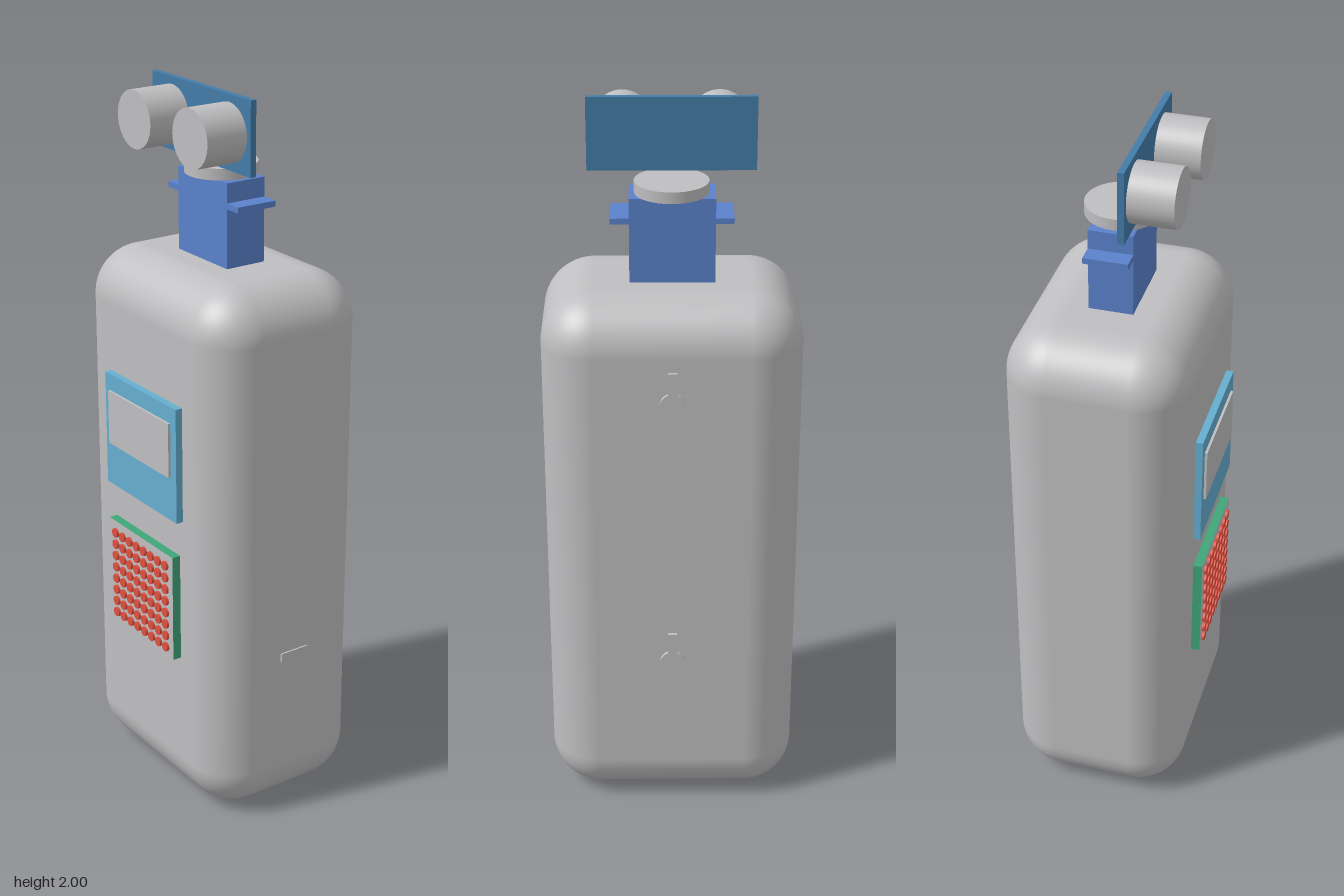
import * as THREE from 'three';
import { RoundedBoxGeometry } from 'three/addons/geometries/RoundedBoxGeometry.js';

export function createModel() {
  const model = new THREE.Group();
  const mat = (name, color) => {
    const m = new THREE.MeshStandardMaterial({ color });
    m.name = name;
    return m;
  };
  const grey = mat('casing grey', 0xbfbfc1);
  const servoBlue = mat('servo blue', 0x5a82cc);
  const screenBlue = mat('screen board blue', 0x66aed0);
  const sensorBlue = mat('sensor board blue', 0x437ca8);
  const green = mat('matrix board green', 0x3fa578);
  const red = mat('light red', 0xe0503f);

  const add = (name, geometry, material, x = 0, y = 0, z = 0, parent = model) => {
    const mesh = new THREE.Mesh(geometry, material);
    mesh.name = name;
    mesh.position.set(x, y, z);
    parent.add(mesh);
    return mesh;
  };
  // box given by its limits on each axis
  const box = (name, material, [x0, x1], [y0, y1], [z0, z1], parent) =>
    add(name, new THREE.BoxGeometry(x1 - x0, y1 - y0, z1 - z0), material,
      (x0 + x1) / 2, (y0 + y1) / 2, (z0 + z1) / 2, parent);
  const group = (name) => {
    const g = new THREE.Group();
    g.name = name;
    model.add(g);
    return g;
  };
  const cx = -0.003;

  // casing with rounded edges all round
  add('casing', new RoundedBoxGeometry(0.69, 1.535, 0.495, 10, 0.138), grey, cx, 0.7675, -0.0125);

  // display on the front
  const display = group('display');
  box('displayBoard', screenBlue, [-0.175, 0.17], [0.88, 1.207], [0.225, 0.255], display);
  box('displayScreen', grey, [-0.152, 0.144], [1.005, 1.16], [0.25, 0.262], display);

  // light matrix: green board with a grey face and 8 x 8 lights
  const matrix = group('lightMatrix');
  box('matrixBoard', [green, green, green, green, grey, green],
    [-0.163, 0.155], [0.46, 0.773], [0.225, 0.26], matrix);
  const lightGeometry = new THREE.CylinderGeometry(0.0135, 0.0135, 0.012, 14).rotateX(Math.PI / 2);
  for (let row = 0; row < 8; row++) {
    for (let col = 0; col < 8; col++) {
      add('light', lightGeometry, red, cx + (col - 3.5) * 0.0357, 0.613 + (row - 3.5) * 0.0357, 0.261, matrix);
    }
  }

  // keyhole hangers on the back
  const keyhole = new THREE.Shape();
  const r = 0.034, w = 0.012, a = Math.acos(w / r);
  keyhole.moveTo(w, 0.092);
  keyhole.lineTo(-w, 0.092);
  keyhole.absarc(0, 0, r, Math.PI - a, Math.PI * 2 + a, false);
  keyhole.closePath();
  const keyholeGeometry = new THREE.ExtrudeGeometry(keyhole, { depth: 0.02, bevelEnabled: false, curveSegments: 24 });
  for (const y of [0.477, 1.27]) add('keyholeHanger', keyholeGeometry, grey, cx, y, -0.27);

  // port on the left side
  box('sidePort', grey, [0.33, 0.347], [0.465, 0.492], [-0.057, 0.031]);

  // servo with mounting flanges and turning horn
  const servo = group('servo');
  box('servoBody', servoBlue, [-0.117, 0.108], [1.5, 1.765], [-0.071, 0.048], servo);
  for (const [x0, x1] of [[-0.165, -0.117], [0.108, 0.157]]) {
    box('servoFlange', servoBlue, [x0, x1], [1.696, 1.712], [-0.071, 0.048], servo);
  }
  add('servoHorn', new THREE.CylinderGeometry(0.098, 0.098, 0.031, 48), grey, cx, 1.7805, -0.012, servo);

  // distance sensor with two round transducers
  const sensor = group('distanceSensor');
  box('sensorBoard', sensorBlue, [-0.226, 0.218], [1.804, 2], [0.038, 0.055], sensor);
  const transducer = new THREE.CylinderGeometry(0.078, 0.078, 0.122, 40).rotateX(Math.PI / 2);
  for (const x of [-0.132, 0.125]) add('transducer', transducer, grey, x, 1.902, 0.114, sensor);

  return model;
}
